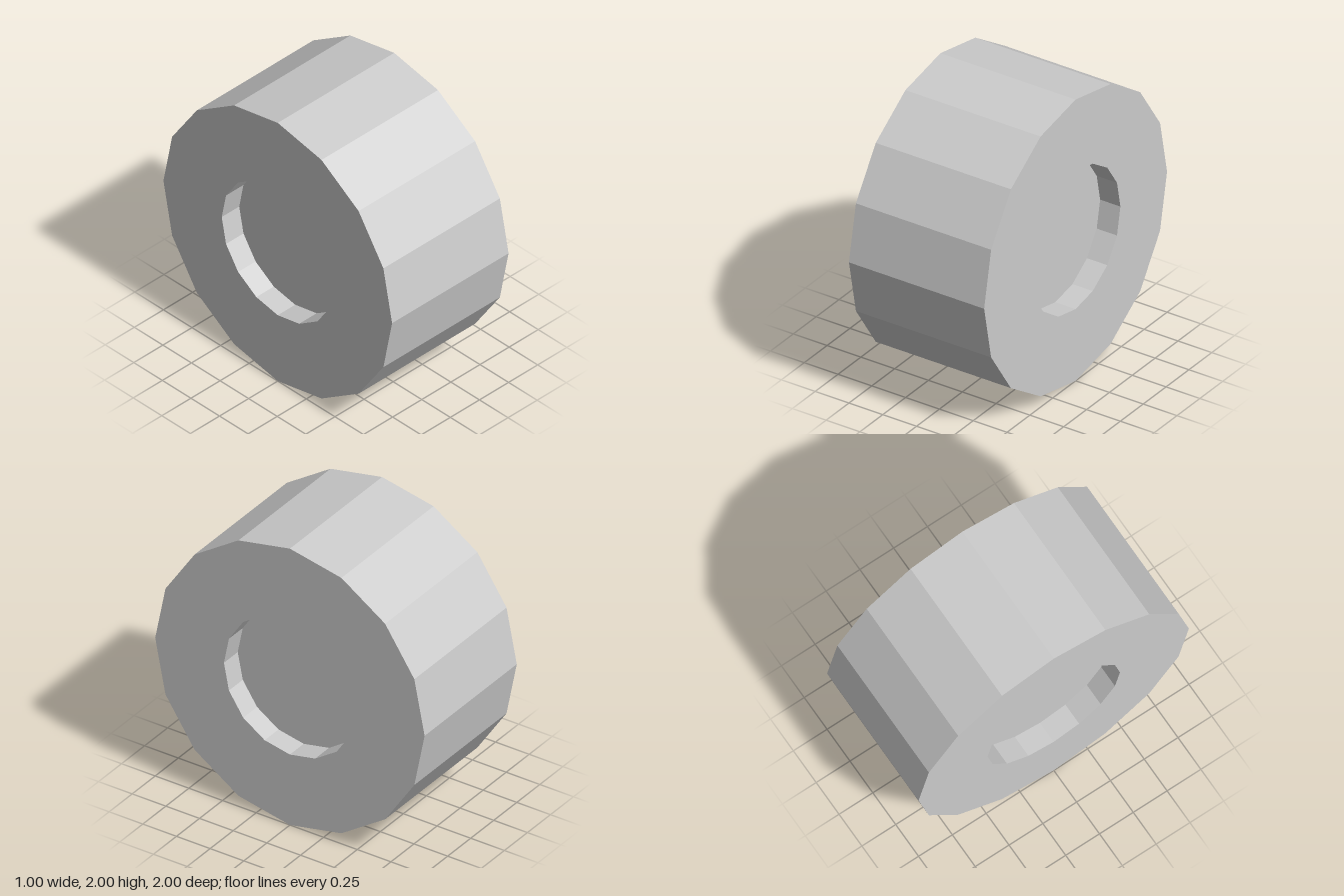
import * as THREE from 'three';

const SIDES = 16;
const RADIUS = 1;
const HALF_WIDTH = 0.5;
const HUB_RADIUS = 0.49;
const HUB_DEPTH = 0.15;

export function createModel() {
  const group = new THREE.Group();
  group.name = 'wheel';
  const material = new THREE.MeshStandardMaterial({ color: 0xcccccc, flatShading: true });

  // Solid tyre with a shallow hub recess on each face, turned around its axle
  const floor = HALF_WIDTH - HUB_DEPTH;
  const profile = [
    [0, -floor],
    [HUB_RADIUS, -floor],
    [HUB_RADIUS, -HALF_WIDTH],
    [RADIUS, -HALF_WIDTH],
    [RADIUS, HALF_WIDTH],
    [HUB_RADIUS, HALF_WIDTH],
    [HUB_RADIUS, floor],
    [0, floor],
  ].map(([r, y]) => new THREE.Vector2(r, y));

  const tyre = new THREE.Mesh(new THREE.LatheGeometry(profile, SIDES), material);
  tyre.name = 'tyre';
  // Lay the axle along x and stand the wheel on the ground
  tyre.rotation.z = Math.PI / 2;
  tyre.position.y = RADIUS;
  group.add(tyre);

  return group;
}
